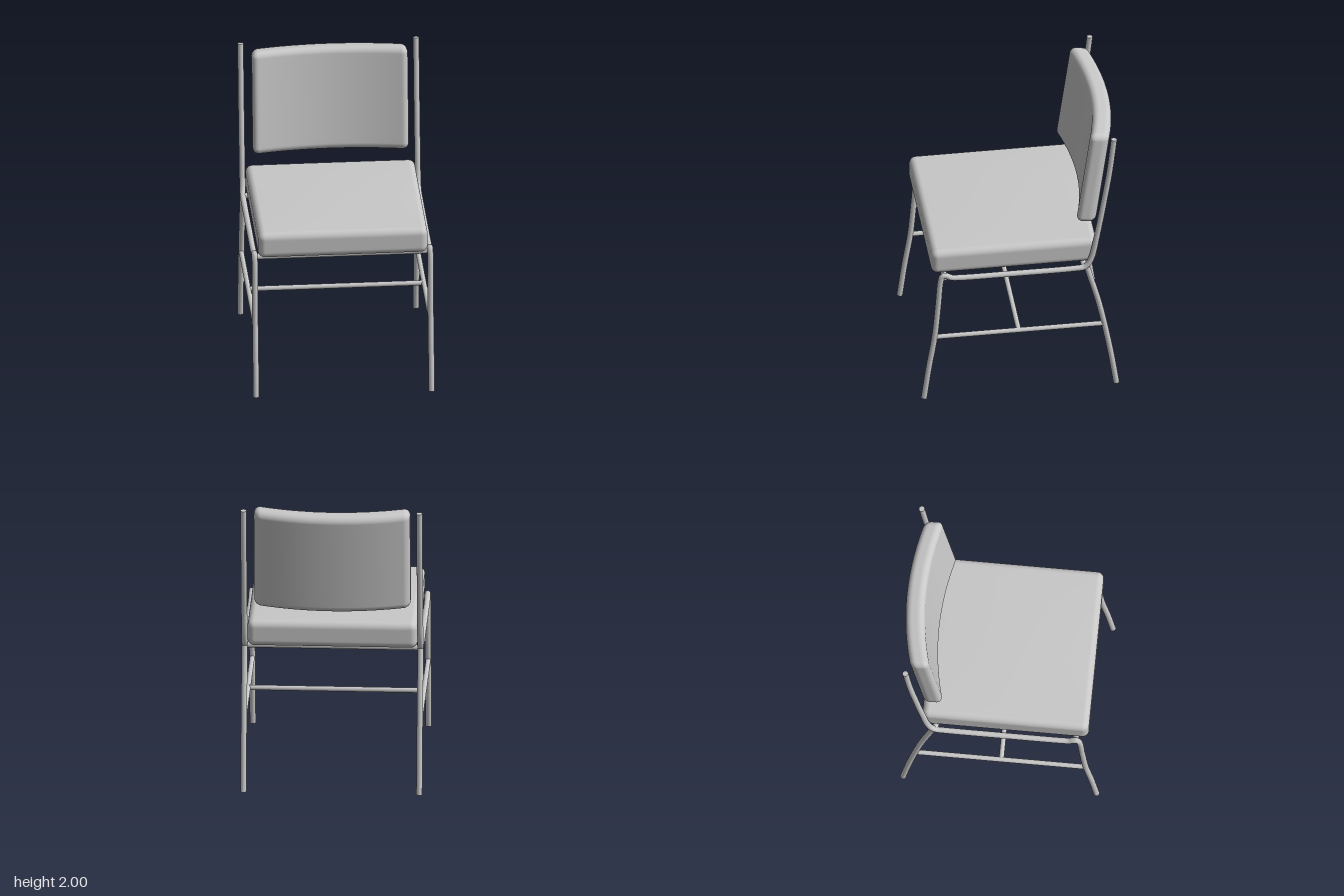
import * as THREE from 'three';
import { mergeVertices } from 'three/addons/utils/BufferGeometryUtils.js';

const V = (x, y, z) => new THREE.Vector3(x, y, z);
const R = 0.02;      // tube radius
const SIDE = 0.585;  // x of the side frames

// Rounded block with a fine grid, so that it can be bent by a rule afterwards
function cushionGeometry(w, h, d, r, bend) {
  const N = 24, K = 5;
  const size = [w, h, d];
  const geo = new THREE.BoxGeometry(1, 1, 1, N, N, N);
  const pos = geo.attributes.position;
  // spread the outer K grid lines over the rounding, the others over the flat part
  const remap = (u, s) => {
    const i = Math.abs(u) * N, flat = N / 2 - K, inner = s / 2 - r;
    const v = i <= flat ? (i / flat) * inner : inner + r * Math.tan(((i - flat) / K) * Math.PI / 4);
    return Math.sign(u) * v;
  };
  for (let i = 0; i < pos.count; i++) {
    const p = [pos.getX(i), pos.getY(i), pos.getZ(i)].map((u, a) => remap(u, size[a]));
    const core = p.map((v, a) => THREE.MathUtils.clamp(v, r - size[a] / 2, size[a] / 2 - r));
    const q = V(...p).sub(V(...core)).setLength(r).add(V(...core));
    bend(q);
    pos.setXYZ(i, q.x, q.y, q.z);
  }
  geo.deleteAttribute('uv');
  geo.deleteAttribute('normal');
  const merged = mergeVertices(geo, 1e-5);
  merged.computeVertexNormals();
  return merged;
}

// Round tube along a smooth path, with closed ends
function tube(name, points, material, radius = R) {
  const part = new THREE.Group();
  part.name = name;
  const curve = new THREE.CatmullRomCurve3(points, false, 'centripetal');
  const steps = points.length > 2 ? points.length * 8 : 1;
  const body = new THREE.Mesh(new THREE.TubeGeometry(curve, steps, radius, 16), material);
  body.name = name + 'Tube';
  part.add(body);
  for (const t of [0, 1]) {
    const cap = new THREE.Mesh(new THREE.CircleGeometry(radius, 16), material);
    cap.name = name + 'End';
    cap.position.copy(curve.getPointAt(t));
    const out = curve.getTangentAt(t).multiplyScalar(t ? 1 : -1);
    cap.quaternion.setFromUnitVectors(V(0, 0, 1), out);
    part.add(cap);
  }
  return part;
}

export function createModel() {
  const chair = new THREE.Group();
  chair.name = 'chair';
  const grey = new THREE.MeshStandardMaterial({ color: 0xc8c8c8 });
  grey.name = 'grey';

  // Seat cushion with a slightly domed top
  const seat = new THREE.Mesh(cushionGeometry(1.13, 0.18, 1.11, 0.045, (p) => {
    if (p.y > 0) {
      const dome = (1 - (p.x / 0.565) ** 2) * (1 - (p.z / 0.555) ** 2);
      p.y += 0.012 * dome * (p.y / 0.09);
    }
  }), grey);
  seat.name = 'seat';
  seat.position.set(0, 1.077, 0.045);
  chair.add(seat);

  // Backrest cushion, curved around the sitter and leaning back
  const back = new THREE.Mesh(cushionGeometry(1.04, 0.715, 0.13, 0.045, (p) => {
    p.z += 0.075 * (p.x / 0.52) ** 2;
  }), grey);
  back.name = 'backrest';
  back.position.set(0, 1.62, -0.557);
  back.rotation.x = -0.137;
  chair.add(back);

  // Side frames: front leg, seat rail and back post in one bent tube, plus back leg and stretcher
  const framePath = [
    [0.003, 0.655], [0.25, 0.622], [0.5, 0.583], [0.75, 0.56], [0.95, 0.543], [0.99, 0.53],
    [0.992, 0.51], [0.972, 0.475], [0.966, 0.43], [0.963, 0.05], [0.964, -0.36], [0.97, -0.42],
    [1.0, -0.45], [1.06, -0.474], [1.235, -0.508], [1.5, -0.553], [1.74, -0.59], [1.998, -0.62],
  ];
  const backLegPath = [[0.97, -0.437], [0.85, -0.47], [0.68, -0.515], [0.5, -0.553], [0.25, -0.598], [0.003, -0.635]];
  for (const [side, x] of [['left', SIDE], ['right', -SIDE]]) {
    const at = ([y, z]) => V(x, y, z);
    chair.add(tube(side + 'Frame', framePath.map(at), grey));
    chair.add(tube(side + 'BackLeg', backLegPath.map(at), grey));
    chair.add(tube(side + 'Stretcher', [V(x, 0.495, 0.58), V(x, 0.495, -0.55)], grey, 0.017));
  }

  // Cross bars joining the two frames
  const bars = [['frontRail', 0.97, 0.515, R], ['backRail', 0.97, -0.42, R], ['middleStretcher', 0.495, 0.02, 0.017]];
  for (const [name, y, z, r] of bars) {
    chair.add(tube(name, [V(-SIDE, y, z), V(SIDE, y, z)], grey, r));
  }
  return chair;
}
